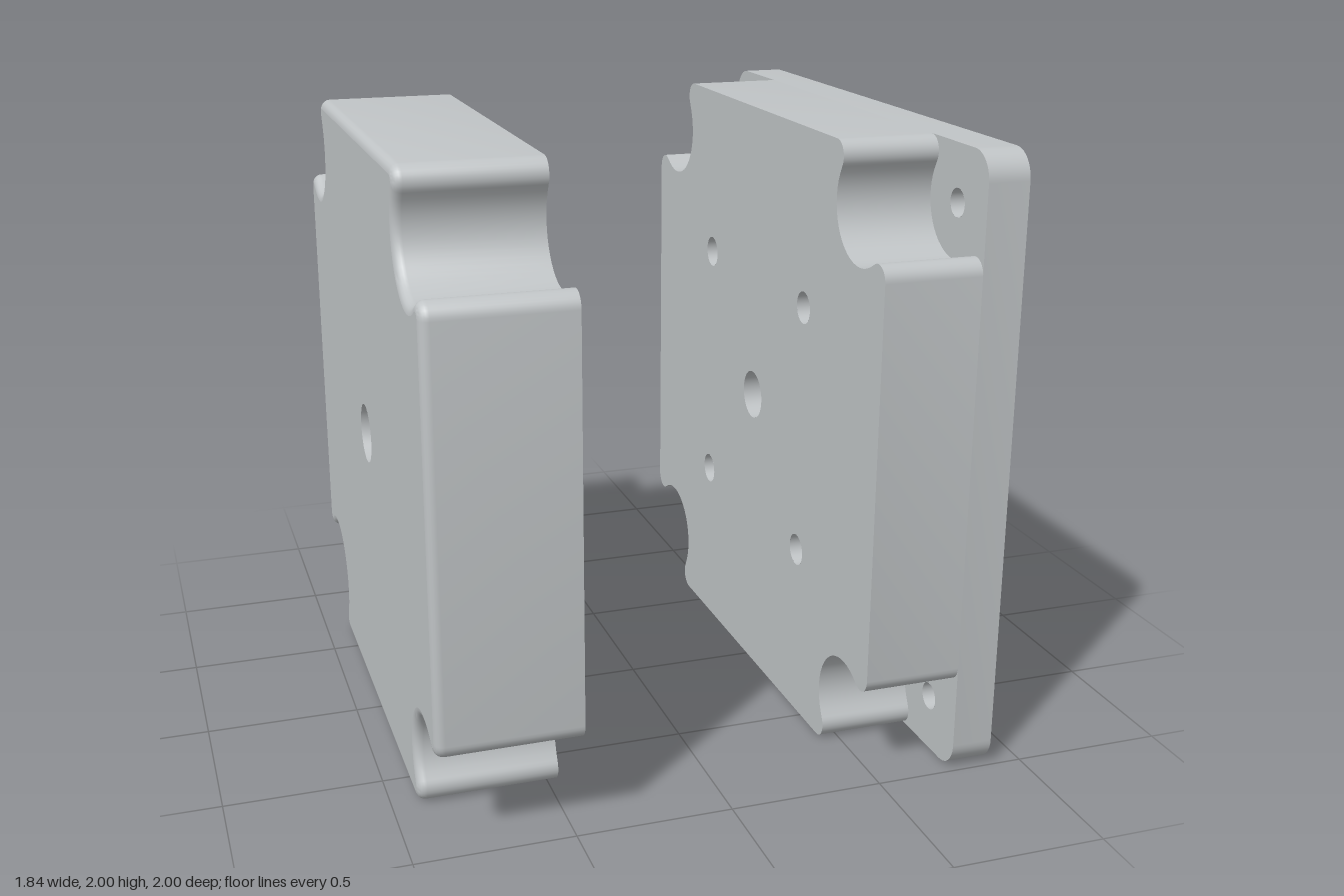
import * as THREE from 'three';
import { toCreasedNormals } from 'three/addons/utils/BufferGeometryUtils.js';

// Everything is built along local z, then turned so that local z becomes x.
const HOLE = 0.82;    // corner screw position
const POST = 0.42;    // inner post position
const V = (x, y) => new THREE.Vector2(x, y);

function arc(cx, cy, r, a0, a1, n) {
  return Array.from({ length: n + 1 }, (_, i) => {
    const a = THREE.MathUtils.degToRad(a0 + (a1 - a0) * i / n);
    return V(cx + r * Math.cos(a), cy + r * Math.sin(a));
  });
}

// One scalloped corner, inset by o
function scallop(o = 0) {
  return [
    ...arc(0.95, 0.635, 0.05 - o, 0, 125.1, 10),
    ...arc(HOLE, HOLE, 0.175 + o, -54.9, -215.1, 20).slice(1, -1),
    ...arc(0.635, 0.95, 0.05 - o, -35.1, 90, 10),
  ];
}

const quarter = (pts, k) => pts.map(p => p.clone().rotateAround(V(0, 0), k * Math.PI / 2));
const allRound = pts => [0, 1, 2, 3].flatMap(k => quarter(pts, k));

// Wall through rings given as [points, z]
function wall(rings) {
  const pos = [], idx = [], n = rings[0][0].length;
  rings.forEach(([pts, z]) => pts.forEach(p => pos.push(p.x, p.y, z)));
  for (let r = 0; r < rings.length - 1; r++) {
    for (let i = 0; i < n; i++) {
      const a = r * n + i, b = r * n + (i + 1) % n;
      idx.push(a, b, b + n, a, b + n, a + n);
    }
  }
  const g = new THREE.BufferGeometry();
  g.setAttribute('position', new THREE.Float32BufferAttribute(pos, 3));
  g.setIndex(idx);
  return toCreasedNormals(g, 0.6);
}

// Flat plate with round holes given as [x, y, radius]
function plate(pts, holes, z, facing = 1) {
  const shape = new THREE.Shape(pts);
  holes.forEach(([x, y, r]) => shape.holes.push(new THREE.Path().absarc(x, y, r, 0, Math.PI * 2, true)));
  const g = new THREE.ShapeGeometry(shape, 16);
  if (facing < 0) {
    const ix = g.index;
    for (let i = 0; i < ix.count; i += 3) {
      const t = ix.getX(i);
      ix.setX(i, ix.getX(i + 2));
      ix.setX(i + 2, t);
    }
    g.computeVertexNormals();
  }
  return g.translate(0, 0, z);
}

// Turned part from [radius, z] pairs
function turned(profile) {
  const g = new THREE.LatheGeometry(profile.map(p => V(...p)), 40);
  return toCreasedNormals(g.rotateX(Math.PI / 2), 0.6);
}

function tube(r, z0, z1, x, y) {
  return new THREE.CylinderGeometry(r, r, z1 - z0, 24, 1, true)
    .rotateX(Math.PI / 2).translate(x, y, (z0 + z1) / 2);
}

export function createModel() {
  const grey = new THREE.MeshStandardMaterial({ color: 0xc0c4c6, side: THREE.DoubleSide });
  grey.name = 'light grey';
  const model = new THREE.Group();
  model.name = 'twoPartHousing';
  const group = name => {
    const g = new THREE.Group();
    g.name = name;
    g.rotation.y = Math.PI / 2;
    g.position.y = 1;
    model.add(g);
    return g;
  };
  const add = (parent, name, geo) => {
    const m = new THREE.Mesh(geo, grey);
    m.name = name;
    parent.add(m);
  };

  // Closed block with a rounded outer edge
  const block = group('closedBlock');
  const rings = [];
  for (let i = 0; i <= 5; i++) {
    const a = i / 5 * Math.PI / 2;
    rings.push([allRound(scallop(0.03 * (1 - Math.sin(a)))), -0.89 - 0.03 * Math.cos(a)]);
  }
  rings.push([allRound(scallop()), -0.47]);
  add(block, 'blockWall', wall(rings));
  add(block, 'blockOuterFace', plate(allRound(scallop(0.03)), [[0, 0, 0.097]], -0.92, -1));
  add(block, 'blockInnerFace', plate(allRound(scallop()), [[0, 0, 0.083]], -0.47));
  add(block, 'blockBore', turned([[0.097, -0.92], [0.097, -0.89], [0.083, -0.89], [0.083, -0.47]]));

  // Open tray: scalloped well, rounded rim and floor
  const tray = group('openTray');
  const corners = [[1, 1], [-1, 1], [-1, -1], [1, -1]];
  const rimCorner = arc(0.91, 0.91, 0.09, 0, 90, 10);
  const floorHoles = corners.map(([x, y]) => [x * POST, y * POST, 0.053]);
  add(tray, 'trayWall', wall([[allRound(scallop()), 0.44], [allRound(scallop()), 0.755]]));
  add(tray, 'trayRim', wall([[allRound(rimCorner), 0.755], [allRound(rimCorner), 0.89]]));
  add(tray, 'trayFloor', plate(allRound(scallop()), [[0, 0, 0.083], ...floorHoles], 0.44, -1));

  // Corner lugs with screw tubes, and inner posts
  const lug = [...scallop(), ...[...rimCorner].reverse()];
  corners.forEach(([x, y], k) => {
    add(tray, 'cornerLug', plate(quarter(lug, k), [[x * HOLE, y * HOLE, 0.045]], 0.755, -1));
    add(tray, 'cornerTube', tube(0.045, 0.755, 0.89, x * HOLE, y * HOLE));
    add(tray, 'innerPost', tube(0.053, 0.44, 0.89, x * POST, y * POST));
  });

  // Central hub with a thin disc at its end
  add(tray, 'hubAndDisc', turned([
    [0.097, 0.44], [0.097, 0.914], [0.335, 0.914], [0.335, 0.92],
    [0.097, 0.92], [0.097, 0.89], [0.083, 0.89], [0.083, 0.44],
  ]));
  return model;
}
